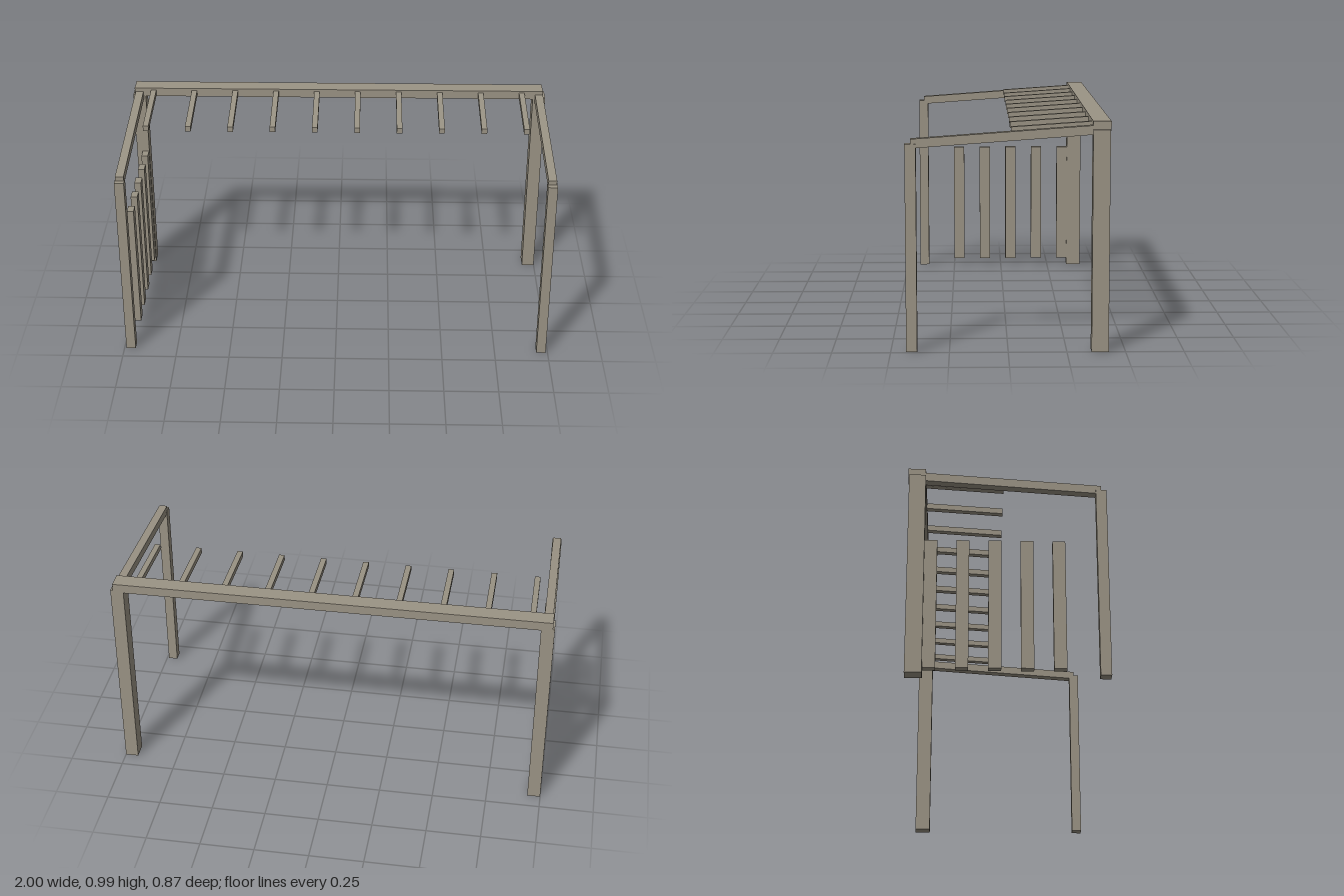
import * as THREE from 'three';

export function createModel() {
  const model = new THREE.Group();
  model.name = 'pergola';
  const timber = new THREE.MeshStandardMaterial({ color: 0x9b9485 });
  timber.name = 'weathered timber';

  // Straight timber given by its limits on each axis
  function beam(name, [x0, x1], [y0, y1], [z0, z1]) {
    const mesh = new THREE.Mesh(new THREE.BoxGeometry(x1 - x0, y1 - y0, z1 - z0), timber);
    mesh.position.set((x0 + x1) / 2, (y0 + y1) / 2, (z0 + z1) / 2);
    mesh.name = name;
    model.add(mesh);
  }

  // Sloping timber: a side profile of [z, y] points extruded across x
  function sloped(name, x, width, profile) {
    const shape = new THREE.Shape(profile.map(([z, y]) => new THREE.Vector2(-z, y)));
    const geometry = new THREE.ExtrudeGeometry(shape, { depth: width, bevelEnabled: false });
    geometry.translate(0, 0, -width / 2).rotateY(Math.PI / 2);
    const mesh = new THREE.Mesh(geometry, timber);
    mesh.position.x = x;
    mesh.name = name;
    model.add(mesh);
  }

  // Posts and side rafters, mirrored left and right
  for (const side of [-1, 1]) {
    const label = side > 0 ? 'left' : 'right';
    const span = (a, b) => (side > 0 ? [a, b] : [-b, -a]);
    beam(label + 'RearPost', span(0.94, 1), [0, 0.95], [-0.428, -0.355]);
    beam(label + 'FrontPost', span(0.947, 0.991), [0, 0.89], [0.387, 0.434]);
    sloped(label + 'Rafter', side * 0.969, 0.038,
      [[0.41, 0.872], [0.41, 0.911], [-0.37, 0.968], [-0.37, 0.929]]);
  }

  // Long beam across the rear posts
  beam('rearBeam', [-0.992, 0.987], [0.943, 0.985], [-0.432, -0.355]);

  // Short sloping joists reaching forward from the rear beam
  for (let i = 0; i < 10; i++) {
    sloped('joist' + (i + 1), -0.9 + i * 0.1984, 0.026,
      [[-0.013, 0.926], [-0.013, 0.952], [-0.365, 0.976], [-0.365, 0.95]]);
  }

  // Upright screen slats on the right side
  for (let i = 0; i < 5; i++) {
    const z = 0.223 - i * 0.1377;
    beam('screenSlat' + (i + 1), [-0.973, -0.942], [0.035, 0.64], [z - 0.0275, z + 0.0275]);
  }

  return model;
}
